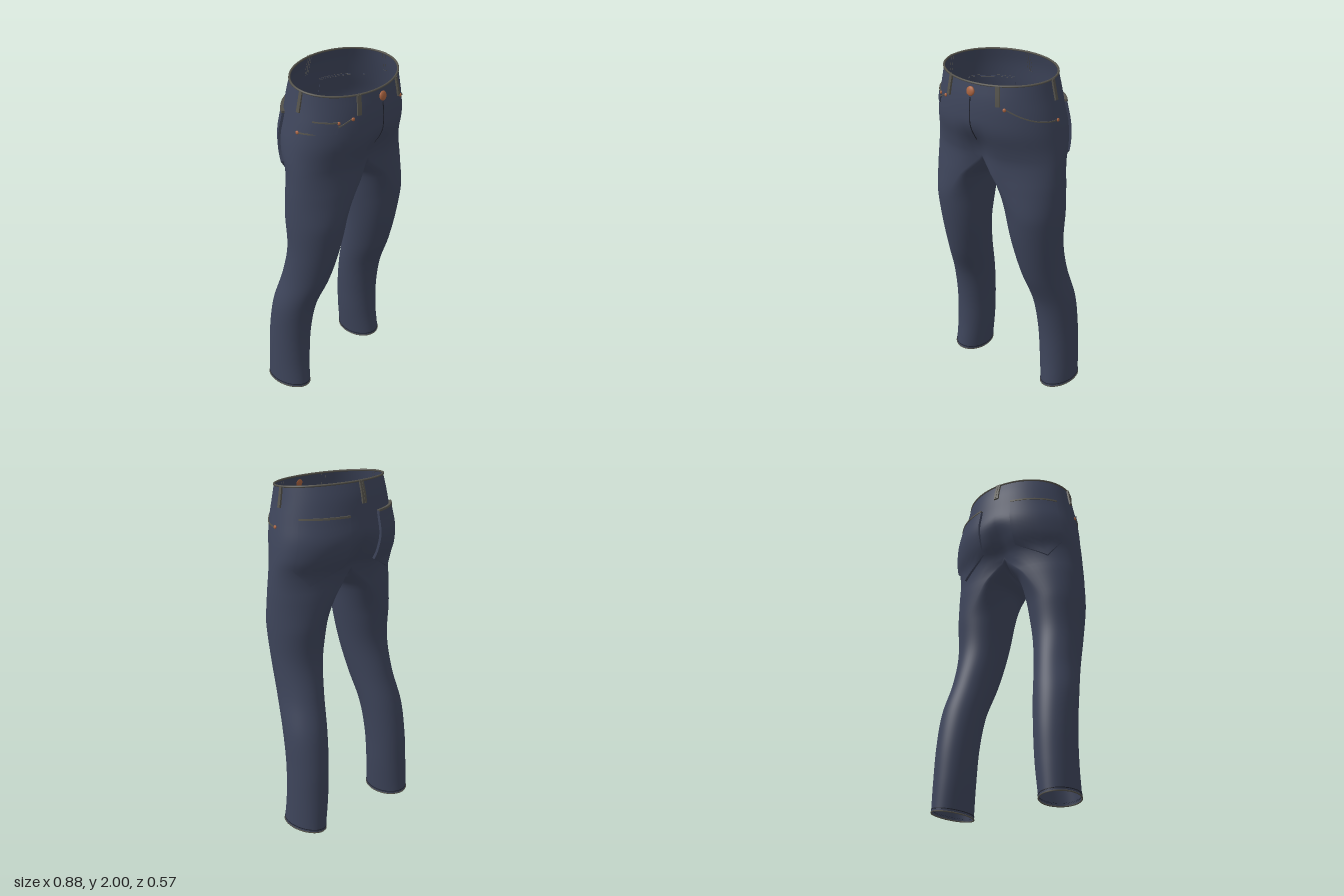
import * as THREE from 'three';
import { mergeGeometries, mergeVertices, toCreasedNormals } from 'three/addons/utils/BufferGeometryUtils.js';

const CROTCH = 1.53, TOP = 1.98, HEM = 0.02;

// Cross-sections: height, outer x, inner x, front z, back z, leg roundness, crotch sag
const SECTIONS = [
  [0.02, 0.437, 0.237, 0.005, -0.278, 1, 0],
  [0.2, 0.434, 0.215, -0.01, -0.275, 1, 0],
  [0.4, 0.43, 0.2, -0.005, -0.265, 1, 0],
  [0.6, 0.425, 0.18, 0.03, -0.235, 1, 0],
  [0.8, 0.4, 0.15, 0.11, -0.18, 1, 0],
  [1.0, 0.4, 0.115, 0.165, -0.14, 1, 0],
  [1.2, 0.412, 0.08, 0.2, -0.15, 1, 0],
  [1.38, 0.415, 0.05, 0.213, -0.17, 0.5, 0.015],
  [1.45, 0.413, 0.022, 0.22, -0.18, 0.25, 0.04],
  [1.53, 0.41, 0, 0.232, -0.205, 0, 0.07],
  [1.6, 0.405, 0, 0.25, -0.245, 0, 0],
  [1.7, 0.392, 0, 0.28, -0.272, 0, 0],
  [1.8, 0.372, 0, 0.285, -0.258, 0, 0],
  [1.9, 0.35, 0, 0.279, -0.243, 0, 0],
  [1.98, 0.335, 0, 0.265, -0.22, 0, 0],
];

// Smooth interpolation of one column of the section table
function sample(y, c) {
  const S = SECTIONS, n = S.length;
  let i = 0;
  while (i < n - 2 && y > S[i + 1][0]) i++;
  const slope = (k) => {
    const a = S[Math.max(k - 1, 0)], b = S[Math.min(k + 1, n - 1)];
    return (b[c] - a[c]) / (b[0] - a[0]);
  };
  const h = S[i + 1][0] - S[i][0], t = (y - S[i][0]) / h, t2 = t * t, t3 = t2 * t;
  return (2 * t3 - 3 * t2 + 1) * S[i][c] + (t3 - 2 * t2 + t) * h * slope(i)
    + (3 * t2 - 2 * t3) * S[i + 1][c] + (t3 - t2) * h * slope(i + 1);
}

// Point on the left half: angle 0 = front, PI/2 = outside, PI = back, beyond PI = inseam
function surf(a, y) {
  const above = y >= CROTCH - 1e-6;
  const xo = sample(y, 1), zf = sample(y, 3), zb = sample(y, 4);
  const xi = above ? 0 : Math.max(0, sample(y, 2));
  const w = above ? 0 : THREE.MathUtils.clamp(sample(y, 5), 0, 1);
  const sag = y > CROTCH + 1e-6 ? 0 : Math.max(0, sample(y, 6));
  const xm = THREE.MathUtils.lerp(xi, (xi + xo) / 2, w);
  const s = Math.abs(Math.sin(a)), inner = a > Math.PI;
  const x = inner ? xm - (xm - xi) * s : xm + (xo - xm) * s;
  // hollow along the centre line towards the crotch
  const dent = 0.2 * (1 - THREE.MathUtils.smoothstep(y, CROTCH, 1.76)) * Math.exp(-((x / 0.07) ** 2));
  const z = (zf + zb) / 2 + (zf - zb) / 2 * Math.cos(a) * (1 - dent);
  // tilted waist and hem
  const tilt = -0.09 * z * THREE.MathUtils.smoothstep(y, 1.7, TOP)
    + 0.12 * (x - 0.337) * (1 - THREE.MathUtils.smoothstep(y, HEM, 0.2));
  return new THREE.Vector3(x, y + tilt - (inner ? sag * s : 0), z);
}

function normalAt(a, y) {
  const e = 0.004, y0 = Math.min(y, TOP - e);
  const da = surf(a + e, y0).sub(surf(Math.max(a - e, 0), y0));
  const dy = surf(a, y0 + e).sub(surf(a, y0 - e));
  return da.cross(dy).normalize();
}

// Grid of (cols+1) x (rows+1) points, mirrored to the right half when side is -1
function grid(cols, rows, fn, side = 1) {
  const pos = [], index = [];
  for (let j = 0; j <= rows; j++) for (let i = 0; i <= cols; i++) {
    const p = fn(i, j);
    pos.push(p.x * side, p.y, p.z);
  }
  for (let j = 0; j < rows; j++) for (let i = 0; i < cols; i++) {
    const a = j * (cols + 1) + i, b = a + 1, c = b + cols + 1, d = c - 1;
    index.push(...(side > 0 ? [a, b, c, a, c, d] : [a, c, b, a, d, c]));
  }
  const g = new THREE.BufferGeometry();
  g.setAttribute('position', new THREE.Float32BufferAttribute(pos, 3));
  g.setIndex(index);
  return g;
}

// Raised piece of cloth that follows the body; at(u, v) gives [angle, height], v runs upwards
function patch(at, thick, side = 1, nu = 10, nv = 6) {
  const clamp01 = (t) => THREE.MathUtils.clamp(t, 0, 1);
  const g = grid(nu + 2, nv + 2, (i, j) => {
    const edge = i === 0 || j === 0 || i === nu + 2 || j === nv + 2;
    const [a, y] = at(clamp01((i - 1) / nu), clamp01((j - 1) / nv));
    return surf(a, y).addScaledVector(normalAt(a, y), edge ? -0.002 : thick);
  }, side);
  return toCreasedNormals(g, 0.7);
}

export function createModel() {
  const group = new THREE.Group();
  const material = (name, color) => {
    const m = new THREE.MeshStandardMaterial({ color, side: THREE.DoubleSide });
    m.name = name;
    return m;
  };
  const denim = material('navy denim', 0x3e455b);
  const trim = material('grey stitching', 0x55534c);
  const seam = material('dark seam', 0x20232e);
  const copper = material('copper', 0xa8623f);
  const add = (name, geo, mat) => {
    const m = new THREE.Mesh(geo, mat);
    m.name = name;
    group.add(m);
    return m;
  };
  const { lerp } = THREE.MathUtils;

  // Trouser body: two legs and the two halves of the hips, welded into one shell
  const H = 28, LEG = 52, HIP = 20, parts = [];
  for (const side of [1, -1]) {
    parts.push(grid(2 * H, LEG, (i, j) => surf(Math.PI * i / H, lerp(HEM, CROTCH, j / LEG)), side));
    parts.push(grid(H, HIP, (i, j) => surf(Math.PI * i / H, lerp(CROTCH, TOP, j / HIP)), side));
  }
  const body = mergeVertices(mergeGeometries(parts), 1e-4);
  body.computeVertexNormals();
  add('trousers', body, denim);

  // Waist edge
  const rim = [];
  for (let i = 0; i < 48; i++) {
    const a = 2 * Math.PI * i / 48, p = surf(a > Math.PI ? 2 * Math.PI - a : a, TOP);
    if (a > Math.PI) p.x *= -1;
    rim.push(p);
  }
  add('waistEdge', new THREE.TubeGeometry(new THREE.CatmullRomCurve3(rim, true), 96, 0.006, 6, true), trim);

  // Places a copper stud on the surface, its axis along the normal
  const stud = (name, a, y, r, depth, side) => {
    const g = new THREE.SphereGeometry(r, 16, 10);
    g.scale(1, 1, depth);
    const m = add(name, g, copper), n = normalAt(a, y), p = surf(a, y).addScaledVector(n, 0.004);
    n.x *= side;
    p.x *= side;
    m.position.copy(p);
    m.quaternion.setFromUnitVectors(new THREE.Vector3(0, 0, 1), n);
  };

  for (const side of [1, -1]) {
    const label = side > 0 ? 'left' : 'right';

    // Hem edge
    const hem = Array.from({ length: 32 }, (_, i) => {
      const p = surf(2 * Math.PI * i / 32, HEM);
      p.x *= side;
      return p;
    });
    add(label + 'Hem', new THREE.TubeGeometry(new THREE.CatmullRomCurve3(hem, true), 64, 0.004, 5, true), trim);
    add(label + 'HemSeam', patch((u, v) => [u * 2 * Math.PI, lerp(0.034, 0.038, v)], 0.002, side, 48, 1), seam);

    // Back pocket with a pointed bottom and a stitched top edge
    const pocketAngle = (u) => lerp(2.04, 2.86, u);
    add(label + 'BackPocket', patch((u, v) =>
      [pocketAngle(u), lerp(1.555 - 0.095 * (1 - Math.abs(2 * u - 1)), 1.82, v)], 0.014, side, 14, 12), denim);
    add(label + 'BackPocketEdge', patch((u, v) =>
      [pocketAngle(u), lerp(1.814, 1.824, v)], 0.017, side, 14, 1), trim);

    // Curved front pocket opening with a rivet at each end
    add(label + 'FrontPocketEdge', patch((u, v) =>
      [lerp(0.6, 1.52, u), 1.765 + 0.085 * (1 - u) ** 2.5 + 0.007 * v], 0.005, side, 20, 1), trim);
    stud(label + 'FrontRivet', 0.57, 1.853, 0.01, 0.6, side);
    stud(label + 'SideRivet', 1.51, 1.768, 0.01, 0.6, side);

    // Belt loops at the front and the side
    for (const [name, a] of [['Front', 0.47], ['Side', 1.57]]) {
      add(label + name + 'BeltLoop', patch((u, v) =>
        [lerp(a - 0.035, a + 0.035, u), lerp(1.87, TOP, v)], 0.01, side, 2, 6), trim);
    }

    // Half of the back belt loop and of the fly seam, meeting at the centre line
    add(label + 'HalfBackBeltLoop', patch((u, v) =>
      [lerp(Math.PI - 0.04, Math.PI - 0.003, u), lerp(1.87, TOP, v)], 0.01, side, 2, 6), trim);
    add(label + 'HalfFlySeam', patch((u, v) =>
      [lerp(0.001, 0.008, u), lerp(1.63, 1.9, v)], 0.002, side, 1, 10), seam);
  }

  // Small coin pocket on the right front
  add('coinPocket', patch((u, v) => [lerp(0.8, 1.25, u), lerp(1.775, 1.842, v)], 0.006, -1, 8, 4), denim);
  add('coinPocketEdge', patch((u, v) => [lerp(0.8, 1.25, u), lerp(1.838, 1.844, v)], 0.008, -1, 8, 1), trim);
  stud('coinPocketRivet', 0.8, 1.838, 0.009, 0.6, -1);

  // Waist button
  stud('button', 0.005, 1.935, 0.026, 0.4, 1);

  return group;
}
